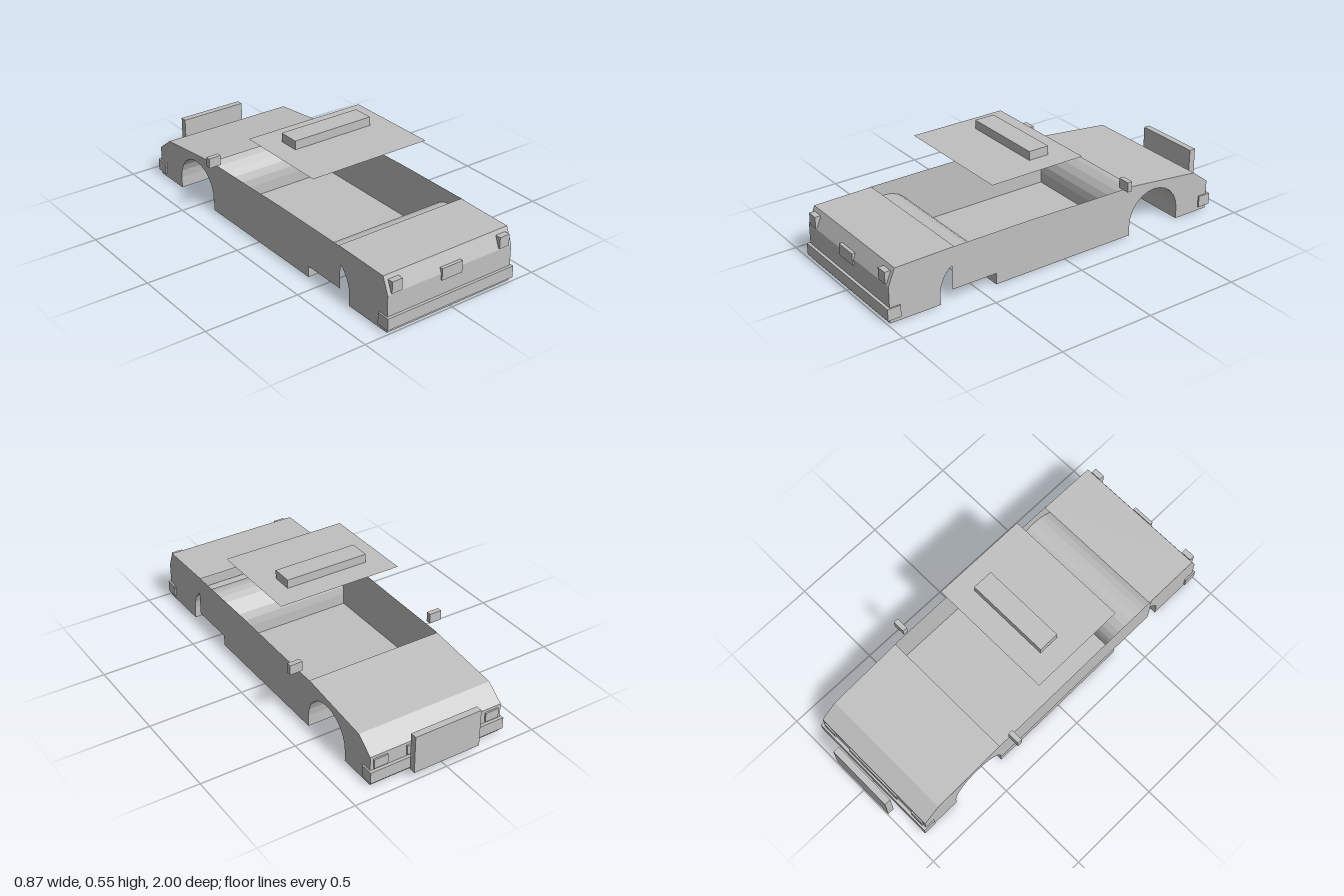
import * as THREE from 'three';

const HALF = 0.367; // half width of the body
const ARCH_Z = 0.56, ARCH_Y = 0.06, ARCH_R = 0.155;

// Arch points [z, y] from the high-z foot over the top to the low-z foot
function arch(cz) {
  const pts = [[cz + ARCH_R, 0]];
  for (let i = 0; i <= 12; i++) {
    const a = Math.PI * i / 12;
    pts.push([cz + ARCH_R * Math.cos(a), ARCH_Y + ARCH_R * Math.sin(a)]);
  }
  pts.push([cz - ARCH_R, 0]);
  return pts;
}

// Flat-faced strip across the full width that follows a [z, y] path
function strip(path) {
  const pos = [];
  for (let i = 0; i < path.length - 1; i++) {
    const [z0, y0] = path[i], [z1, y1] = path[i + 1];
    pos.push(-HALF, y0, z0, HALF, y0, z0, HALF, y1, z1);
    pos.push(-HALF, y0, z0, HALF, y1, z1, -HALF, y1, z1);
  }
  const g = new THREE.BufferGeometry();
  g.setAttribute('position', new THREE.Float32BufferAttribute(pos, 3));
  g.computeVertexNormals();
  return g;
}

// Upright sheet in the z-y plane
function sideSheet(outline) {
  const shape = new THREE.Shape(outline.map(([z, y]) => new THREE.Vector2(z, y)));
  return new THREE.ShapeGeometry(shape).rotateY(-Math.PI / 2);
}

export function createModel() {
  const model = new THREE.Group();
  model.name = 'car';
  const grey = new THREE.MeshStandardMaterial({ color: 0xc0c0c0, side: THREE.DoubleSide });
  grey.name = 'grey';

  function add(name, geometry, x = 0) {
    const mesh = new THREE.Mesh(geometry, grey);
    mesh.name = name;
    mesh.position.x = x;
    model.add(mesh);
  }
  // Box given by its limits on each axis
  function box(name, x0, x1, y0, y1, z0, z1) {
    const g = new THREE.BoxGeometry(x1 - x0, y1 - y0, z1 - z0);
    add(name, g.translate((x0 + x1) / 2, (y0 + y1) / 2, (z0 + z1) / 2));
  }

  // Body shell: decks at both ends, open cabin between them
  const frontDeck = [[0.985, 0], [0.985, 0.19], [0.95, 0.275], [0.635, 0.28]];
  const sill = [[0.2, 0.28], [-0.1, 0.274]];
  const rearDeck = [[-0.415, 0.27], [-0.6, 0.25], [-0.825, 0.226], [-0.918, 0.155], [-0.918, 0]];
  const frontArch = arch(ARCH_Z), rearArch = arch(-ARCH_Z);
  add('frontDeck', strip(frontDeck));
  add('rearDeck', strip(rearDeck));
  add('underbody', strip([[0.985, 0], ...frontArch, ...rearArch, [-0.918, 0]]));

  // Body sides and the overlapping door panels
  const sideOutline = [...frontDeck, ...sill, ...rearDeck,
    ...rearArch.slice().reverse(), ...frontArch.slice().reverse()];
  const doorOutline = [[0.65, 0.06], [0.65, 0.28], ...sill, [-0.405, 0.27], [-0.405, 0.06]];
  for (const s of [-1, 1]) {
    add('bodySide', sideSheet(sideOutline), s * HALF);
    add('doorPanel', sideSheet(doorOutline), s * (HALF + 0.002));
  }

  // Roof sheet with the bar on top
  add('roof', new THREE.PlaneGeometry(0.67, 0.52).rotateX(-Math.PI / 2).translate(0, 0.505, 0.14));
  box('roofBar', -0.225, 0.225, 0.506, 0.552, 0, 0.11);

  // Bumpers and plates
  box('frontBumper', -0.375, 0.375, 0.02, 0.081, 0.93, 1);
  box('rearBumper', -0.375, 0.375, 0.02, 0.081, -0.935, -0.865);
  box('frontPlate', -0.06, 0.06, 0.158, 0.219, 0.975, 0.992);
  box('rearBoard', -0.183, 0.183, 0.043, 0.243, -1, -0.965);
  box('rearGrille', -0.17, 0.17, 0.09, 0.14, -0.926, -0.915);

  // Lamps and mirrors in pairs
  for (const s of [-1, 1]) {
    const pair = (name, a, b, ...rest) => box(name, Math.min(s * a, s * b), Math.max(s * a, s * b), ...rest);
    pair('frontLamp', 0.289, 0.347, 0.196, 0.256, 0.96, 0.99);
    pair('rearLamp', 0.275, 0.35, 0.09, 0.14, -0.926, -0.915);
    pair('mirror', 0.367, 0.433, 0.29, 0.342, -0.355, -0.329);
  }
  return model;
}
